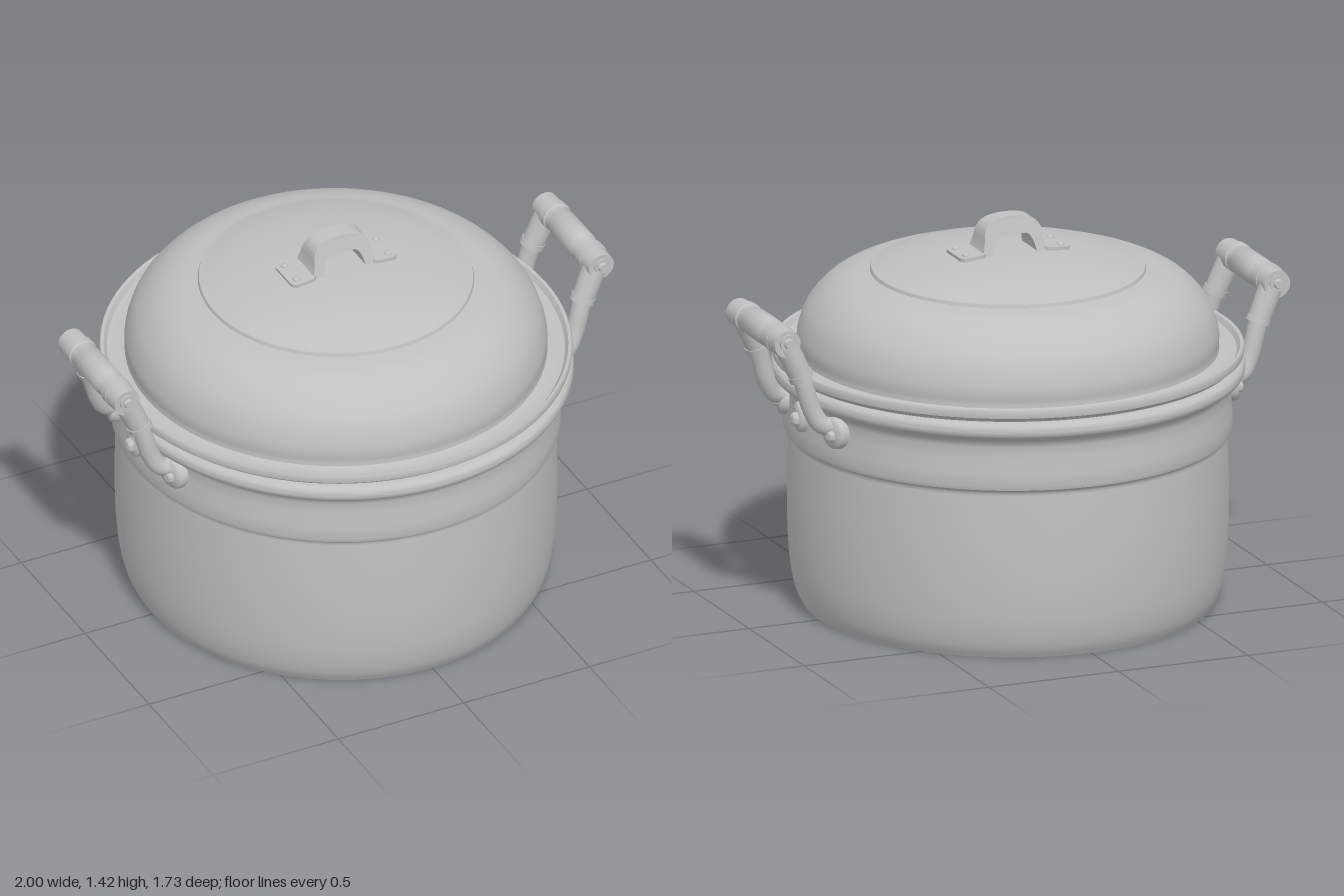
import * as THREE from 'three';
import { toCreasedNormals } from 'three/addons/utils/BufferGeometryUtils.js';

const V = (x, y, z) => new THREE.Vector3(x, y, z);
const P = (list) => list.map(([x, y]) => new THREE.Vector2(x, y));

export function createModel() {
  const metal = new THREE.MeshStandardMaterial({ color: 0xc0c0c0, side: THREE.DoubleSide });
  metal.name = 'grey metal';
  const model = new THREE.Group();
  model.name = 'cookingPot';

  const add = (parent, name, geometry, pos = [0, 0, 0]) => {
    const mesh = new THREE.Mesh(geometry, metal);
    mesh.name = name;
    mesh.position.set(...pos);
    parent.add(mesh);
    return mesh;
  };
  const lathe = (points, segments = 96) =>
    toCreasedNormals(new THREE.LatheGeometry(points, segments), 0.7);

  // Cylinder between two points
  const rod = (parent, name, a, b, r0, r1, sides = 24) => {
    const d = b.clone().sub(a);
    const mesh = add(parent, name, new THREE.CylinderGeometry(r1, r0, d.length(), sides));
    mesh.position.copy(a).addScaledVector(d, 0.5);
    mesh.quaternion.setFromUnitVectors(V(0, 1, 0), d.normalize());
    return mesh;
  };

  // Pot wall, open below, with a stepped collar and a rolled rim
  const wall = new THREE.SplineCurve(P([
    [0.752, 0.005], [0.775, 0.05], [0.793, 0.13], [0.803, 0.25], [0.806, 0.4], [0.803, 0.55], [0.8, 0.625],
  ])).getPoints(30);
  const collar = P([
    [0.806, 0.635], [0.817, 0.642], [0.821, 0.655], [0.818, 0.7], [0.812, 0.76], [0.81, 0.8],
    [0.816, 0.82], [0.828, 0.83], [0.836, 0.84],
  ]);
  const roll = [];
  for (let i = 0; i <= 12; i++) {
    const a = -Math.PI / 2 + (i / 12) * Math.PI;
    roll.push(new THREE.Vector2(0.84 + 0.026 * Math.cos(a), 0.87 + 0.03 * Math.sin(a)));
  }
  const body = add(model, 'potBody', lathe([...wall, ...collar, ...roll, ...P([[0.815, 0.902], [0.805, 0.912]])]));
  body.scale.x = 0.97;

  // Lid: raised lip, gutter, dome and a stepped crown
  const flange = P([
    [0.79, 0.895], [0.822, 0.897], [0.83, 0.91], [0.845, 0.918], [0.848, 0.94], [0.844, 0.948],
    [0.832, 0.946], [0.82, 0.928], [0.78, 0.922], [0.757, 0.93],
  ]);
  const dome = new THREE.SplineCurve(P([
    [0.755, 0.945], [0.755, 1.0], [0.725, 1.085], [0.66, 1.16], [0.58, 1.204], [0.495, 1.222],
  ])).getPoints(30);
  const crown = new THREE.SplineCurve(P([
    [0.482, 1.236], [0.4, 1.26], [0.28, 1.282], [0.14, 1.296], [0, 1.3],
  ])).getPoints(20);
  crown[crown.length - 1].x = 0;
  add(model, 'lid', lathe([...flange, ...dome, ...P([[0.491, 1.234]]), ...crown])).scale.x = 0.99;

  // Lid handle: arch that flares in depth towards its feet
  const knob = new THREE.Group();
  knob.name = 'lidHandle';
  model.add(knob);
  const arch = new THREE.Shape();
  arch.moveTo(-0.135, 1.285);
  arch.quadraticCurveTo(-0.115, 1.31, -0.11, 1.37);
  arch.quadraticCurveTo(-0.1, 1.41, -0.06, 1.42);
  arch.quadraticCurveTo(0, 1.432, 0.06, 1.42);
  arch.quadraticCurveTo(0.1, 1.41, 0.11, 1.37);
  arch.quadraticCurveTo(0.115, 1.31, 0.135, 1.285);
  arch.lineTo(0.085, 1.285);
  arch.quadraticCurveTo(0.075, 1.355, 0.05, 1.363);
  arch.lineTo(-0.05, 1.363);
  arch.quadraticCurveTo(-0.075, 1.355, -0.085, 1.285);
  const archGeo = new THREE.ExtrudeGeometry(arch, {
    depth: 2, steps: 1, bevelEnabled: false, curveSegments: 10,
  });
  const ap = archGeo.attributes.position;
  for (let i = 0; i < ap.count; i++) {
    const half = THREE.MathUtils.lerp(0.072, 0.033, THREE.MathUtils.clamp((ap.getY(i) - 1.285) / 0.135, 0, 1));
    ap.setZ(i, (ap.getZ(i) - 1) * half);
  }
  archGeo.deleteAttribute('normal');
  add(knob, 'lidHandleArch', toCreasedNormals(archGeo, 0.7));

  // Riveted feet of the lid handle
  const foot = new THREE.Shape();
  const fw = 0.05, fh = 0.08, fr = 0.025;
  [[1, 1, 0], [-1, 1, 1], [-1, -1, 2], [1, -1, 3]].forEach(([sx, sy, q]) =>
    foot.absarc(sx * (fw - fr), sy * (fh - fr), fr, q * Math.PI / 2, (q + 1) * Math.PI / 2, false));
  const footGeo = new THREE.ExtrudeGeometry(foot, { depth: 0.02, bevelEnabled: false, curveSegments: 6 });
  footGeo.rotateX(-Math.PI / 2);
  for (const s of [-1, 1]) {
    const f = add(knob, 'lidHandleFoot', footGeo, [s * 0.16, 1.286, 0]);
    f.rotation.z = -s * 0.09;
    for (const z of [-0.047, 0.047]) {
      add(knob, 'lidRivet', new THREE.SphereGeometry(0.014, 14, 8), [s * 0.182, 1.304, z]).scale.y = 0.7;
    }
  }

  // Mounting plate with a domed bolt, facing outwards from the wall
  const mount = (parent, name, angle, radius, ry, rz, boltR) => {
    const g = new THREE.Group();
    g.name = name;
    g.rotation.y = angle;
    parent.add(g);
    const profile = P([[0, 0.034], [0.85, 0.034], [0.95, 0.028], [1, 0.015], [1, -0.03]]).reverse();
    const plate = add(g, name + 'Plate', lathe(profile, 32), [radius, 0.768, 0]);
    plate.rotation.z = -Math.PI / 2;
    plate.scale.set(ry, 1, rz);
    const bolt = lathe(P([[1, 0], [1, 0.5], [0.8, 0.85], [0.4, 1], [0, 1.02]].map(([a, b]) => [a * boltR, b * boltR])), 20);
    add(g, name + 'Bolt', bolt, [radius + 0.03, 0.76, 0]).rotation.z = -Math.PI / 2;
  };

  // Side handle, built on +x and repeated by a half turn
  const buildHandle = (name) => {
    const h = new THREE.Group();
    h.name = name;
    for (const s of [-1, 1]) {
      mount(h, 'handleBracket', -s * 0.3, 0.788, 0.058, 0.06, 0.022);
      const path = new THREE.CatmullRomCurve3([
        V(0.765, 0.785, s * 0.22), V(0.812, 0.8, s * 0.214), V(0.843, 0.85, s * 0.206),
        V(0.868, 0.93, s * 0.201), V(0.887, 1.0, s * 0.194),
      ]);
      add(h, 'handleArm', new THREE.TubeGeometry(path, 24, 0.034, 16));
      // Sleeve and corner joint
      rod(h, 'armSleeve', V(0.882, 0.978, s * 0.196), V(0.943, 1.112, s * 0.186), 0.041, 0.045);
      rod(h, 'sleeveCollar', V(0.879, 0.972, s * 0.197), V(0.888, 0.993, s * 0.195), 0.045, 0.045);
      rod(h, 'cornerJoint', V(0.945, 1.113, s * 0.145), V(0.945, 1.113, s * 0.222), 0.053, 0.05);
      rod(h, 'cornerWasher', V(0.945, 1.118, s * 0.222), V(0.945, 1.118, s * 0.23), 0.03, 0.03);
      rod(h, 'cornerBolt', V(0.945, 1.118, s * 0.23), V(0.945, 1.118, s * 0.24), 0.018, 0.014);
    }
    // Round grip with raised end collars
    const grip = lathe(P([
      [0.046, -0.16], [0.055, -0.157], [0.055, -0.125], [0.05, -0.12], [0.05, -0.085], [0.053, -0.08],
      [0.053, 0.08], [0.05, 0.085], [0.05, 0.12], [0.055, 0.125], [0.055, 0.157], [0.046, 0.16],
    ]), 28);
    add(h, 'grip', grip, [0.945, 1.115, 0]).rotation.x = Math.PI / 2;
    // Oval stud between the brackets
    mount(h, 'centreStud', 0, 0.782, 0.058, 0.044, 0.026);
    model.add(h);
    return h;
  };
  buildHandle('leftHandle');
  buildHandle('rightHandle').rotation.y = Math.PI;

  return model;
}
